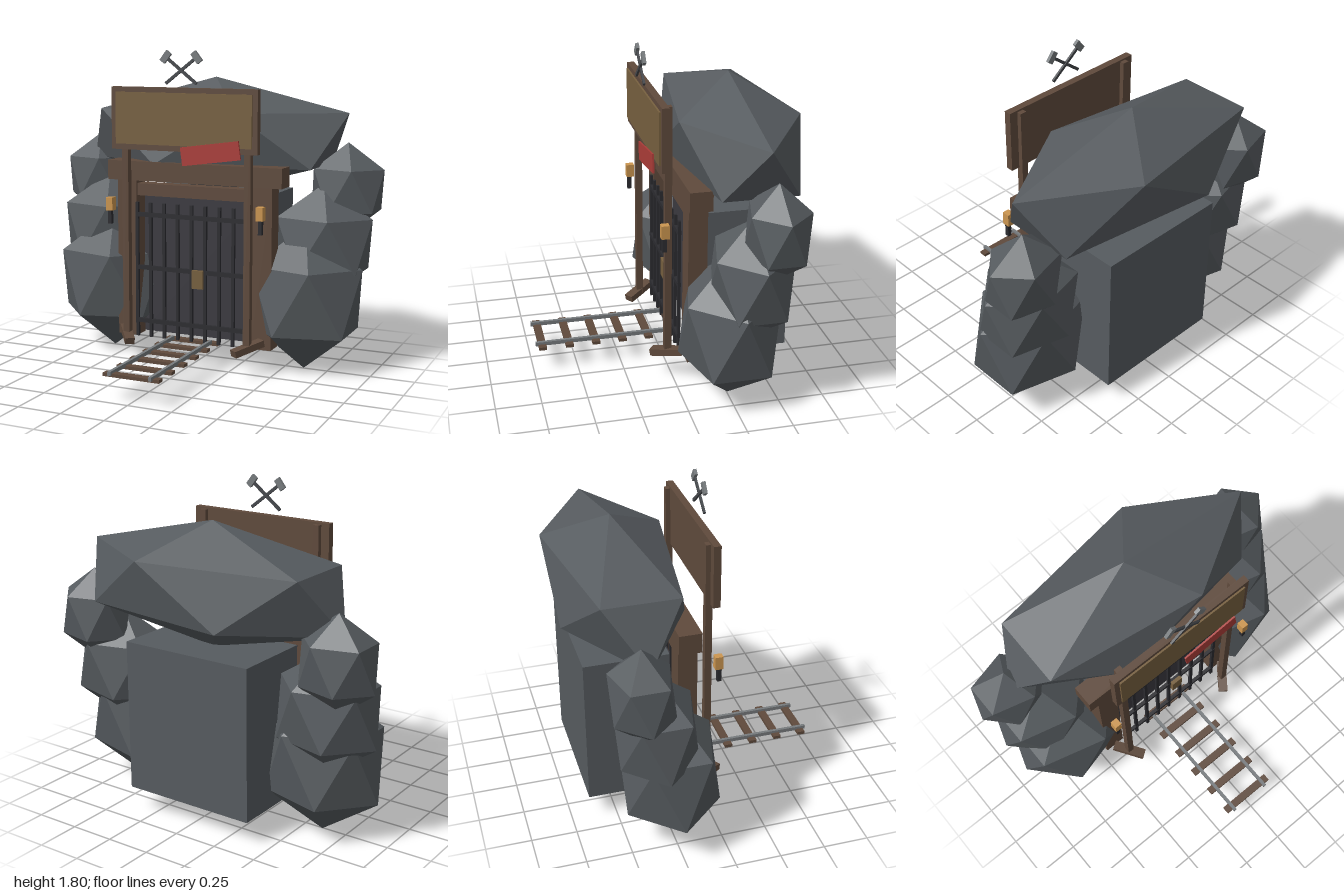
import * as THREE from 'three';

const mat = (name, color) => {
  const m = new THREE.MeshStandardMaterial({ color, flatShading: true });
  m.name = name;
  return m;
};

export function createModel() {
  const stone = mat('stone grey', 0x565b5f);
  const wood = mat('timber brown', 0x5f4a3c);
  const panel = mat('board tan', 0x77603f);
  const dark = mat('tunnel dark', 0x3b3a40);
  const iron = mat('iron black', 0x2c2c30);
  const steel = mat('steel grey', 0x777b7e);
  const handleGrey = mat('handle grey', 0x44474b);
  const red = mat('warning red', 0xab3c38);
  const lamp = mat('lantern amber', 0xcc9650);

  const model = new THREE.Group();
  model.name = 'mineEntrance';

  // Box given by centre and size
  const box = (name, m, [x, y, z], [w, h, d], parent = model) => {
    const mesh = new THREE.Mesh(new THREE.BoxGeometry(w, h, d), m);
    mesh.name = name;
    mesh.position.set(x, y, z);
    parent.add(mesh);
    return mesh;
  };

  // Stretched icosahedron standing on a corner
  const rock = (name, [x, y, z], [rx, ry, rz]) => {
    const geo = new THREE.IcosahedronGeometry(1, 0);
    geo.rotateZ(-Math.atan(2 / (1 + Math.sqrt(5))));
    geo.scale(rx, ry, rz);
    const mesh = new THREE.Mesh(geo, stone);
    mesh.name = name;
    mesh.position.set(x, y, z);
    model.add(mesh);
  };

  // Boulders piled on both sides and across the top
  rock('topBoulder', [0, 1.3, -0.395], [0.9, 0.34, 0.393]);
  for (const s of [-1, 1]) {
    rock('lowerBoulder', [s * 0.608, 0.415, -0.255], [0.37, 0.413, 0.3]);
    rock('middleBoulder', [s * 0.68, 0.72, -0.343], [0.32, 0.335, 0.247]);
    rock('upperBoulder', [s * 0.79, 1.02, -0.44], [0.235, 0.265, 0.188]);
  }

  // Tunnel block with its dark mouth
  box('tunnelBlock', stone, [0, 0.557, -0.418], [0.78, 0.845, 0.466]);
  box('tunnelMouth', dark, [0, 0.557, -0.182], [0.74, 0.84, 0.008]);

  // Timber portal
  for (const s of [-1, 1]) {
    box('portalPost', wood, [s * 0.416, 0.595, -0.112], [0.122, 0.92, 0.105]);
  }
  box('lintel', wood, [0, 1.108, -0.113], [1.07, 0.112, 0.125]);
  box('innerBeam', wood, [0, 1.0, -0.11], [0.72, 0.07, 0.08]);

  // Barred gate with lock
  const gate = new THREE.Group();
  gate.name = 'gate';
  model.add(gate);
  for (let i = -4; i <= 4; i++) {
    box('gateBar', iron, [i * 0.0855, 0.535, -0.043], [0.018, 0.79, 0.016], gate);
  }
  for (const y of [0.235, 0.55, 0.86]) {
    box('gateCrossbar', iron, [0, y, -0.043], [0.7, 0.024, 0.02], gate);
  }
  box('lockPlate', panel, [0.046, 0.51, -0.027], [0.068, 0.105, 0.022], gate);

  // Sign posts, foot braces and lanterns
  for (const s of [-1, 1]) {
    box('signPost', wood, [s * 0.372, 0.865, 0.028], [0.038, 1.44, 0.038]);
    const brace = box('footBrace', wood, [s * 0.375, 0.163, 0.03], [0.055, 0.038, 0.19]);
    brace.lookAt(s * 0.265, 0.122, 0.18);
    box('lantern', lamp, [s * 0.457, 0.928, 0.063], [0.04, 0.075, 0.044]);
    box('lanternHandle', iron, [s * 0.459, 0.852, 0.066], [0.022, 0.078, 0.024]);
  }

  // Large sign board
  box('signBoard', wood, [0, 1.42, 0.055], [0.88, 0.35, 0.04]);
  box('signPanel', panel, [0, 1.422, 0.08], [0.82, 0.29, 0.01]);
  box('warningPlate', red, [0.176, 1.245, 0.1], [0.347, 0.103, 0.01]).rotation.z = 0.14;

  // Crossed hammers above the sign
  for (const s of [-1, 1]) {
    const hammer = new THREE.Group();
    hammer.name = 'hammer';
    hammer.position.set(0, 1.69, 0.093 + s * 0.002);
    hammer.rotation.z = -s * 0.91;
    box('hammerHandle', handleGrey, [0, 0, 0], [0.016, 0.23, 0.012], hammer);
    box('hammerHead', steel, [0, 0.118, 0], [0.066, 0.035, 0.018], hammer);
    model.add(hammer);
  }

  // Rail track
  const track = new THREE.Group();
  track.name = 'track';
  model.add(track);
  for (const s of [-1, 1]) {
    box('rail', steel, [s * 0.118, 0.15, 0.34], [0.018, 0.022, 0.78], track);
  }
  for (let i = 0; i < 6; i++) {
    box('railTie', wood, [0, 0.138, 0.693 - i * 0.152], [0.325, 0.018, 0.044], track);
  }

  return model;
}
